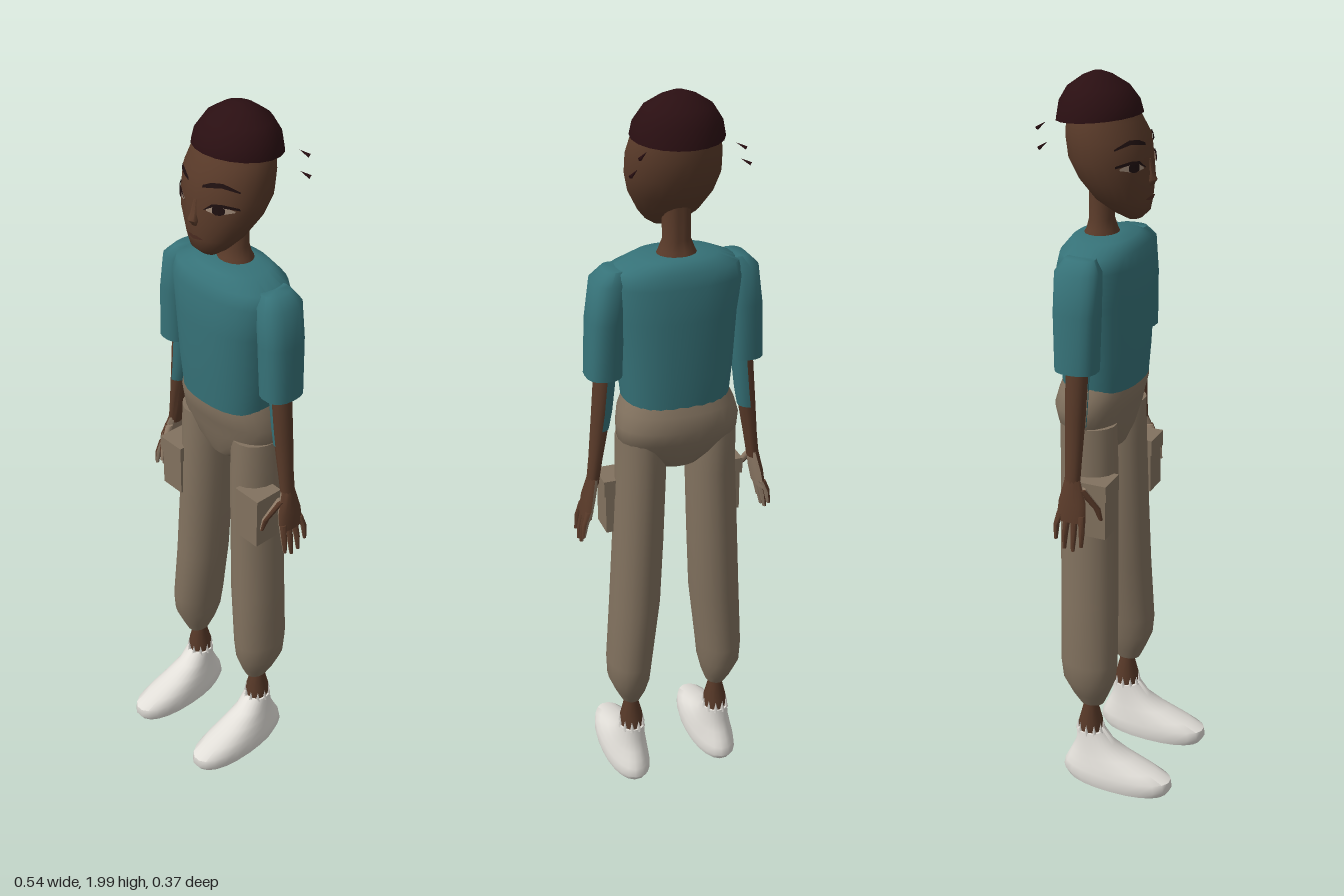
import * as THREE from 'three';
import { toCreasedNormals } from 'three/addons/utils/BufferGeometryUtils.js';

const mat = (name, color, side = THREE.FrontSide) => {
  const m = new THREE.MeshStandardMaterial({ color, side });
  m.name = name;
  return m;
};

// Head cross-sections, shared with the face details: [y, centre x, front z, back z, half width]
const HEAD = [
  [1.652, 0, 0.035, 0, 0.028], [1.67, 0, 0.054, -0.04, 0.053], [1.70, 0, 0.059, -0.085, 0.078],
  [1.75, 0, 0.062, -0.125, 0.106], [1.80, 0, 0.056, -0.15, 0.119], [1.85, 0, 0.05, -0.157, 0.118],
  [1.89, 0, 0.026, -0.155, 0.11], [1.95, 0, -0.005, -0.14, 0.08],
];

// Skin over rounded cross-sections stacked upward; an arc gives part of the way round
function loft(sections, { n = 18, power = 2, start = 0, arc = Math.PI * 2, crease = 0.9 } = {}) {
  const pos = [], idx = [], full = arc > 6.28, cols = full ? n : n + 1;
  const bend = v => Math.sign(v) * Math.abs(v) ** (2 / power);
  for (const [y, cx, zf, zb, rx] of sections)
    for (let j = 0; j < cols; j++) {
      const t = start + arc * j / n;
      pos.push(cx + rx * bend(Math.cos(t)), y, (zf + zb) / 2 + (zf - zb) / 2 * bend(Math.sin(t)));
    }
  const last = sections.length - 1, centre = pos.length / 3;
  for (const i of [0, last]) {
    const [y, cx, zf, zb] = sections[i];
    pos.push(cx, y, (zf + zb) / 2);
  }
  for (let j = 0; j < n; j++) {
    const k = (j + 1) % cols;
    for (let i = 0; i < last; i++) {
      const a = i * cols + j, b = i * cols + k, c = a + cols, d = b + cols;
      idx.push(a, c, b, b, c, d);
    }
    idx.push(centre, j, k, centre + 1, last * cols + k, last * cols + j);
  }
  const g = new THREE.BufferGeometry();
  g.setAttribute('position', new THREE.Float32BufferAttribute(pos, 3));
  g.setIndex(idx);
  return toCreasedNormals(g, crease);
}

// Depth of the face surface at x, y
function faceZ(x, y) {
  let i = 0;
  while (i < HEAD.length - 2 && HEAD[i + 1][0] < y) i++;
  const a = HEAD[i], b = HEAD[i + 1], t = (y - a[0]) / (b[0] - a[0]);
  const [, , zf, zb, rx] = a.map((v, k) => v + (b[k] - v) * t);
  return (zf + zb) / 2 + (zf - zb) / 2 * Math.sqrt(Math.max(0, 1 - (x / rx) ** 2));
}

// Thin strip lying on the face through points [x, y, half height]
function faceStrip(points, lift) {
  const pos = [], idx = [];
  points.forEach(([x, y, h], i) => {
    for (const yy of [y - h, y + h]) pos.push(x, yy, faceZ(x, yy) + lift);
    if (i) idx.push(2 * i - 2, 2 * i, 2 * i - 1, 2 * i - 1, 2 * i, 2 * i + 1);
  });
  const g = new THREE.BufferGeometry();
  g.setAttribute('position', new THREE.Float32BufferAttribute(pos, 3));
  g.setIndex(idx);
  g.computeVertexNormals();
  return g;
}

export function createModel() {
  const root = new THREE.Group();
  root.name = 'figure';
  const skin = mat('skin', 0x593a29), palm = mat('palm', 0x8f7b67), hair = mat('hair', 0x2a0f12);
  const shirt = mat('shirt', 0x367278), pants = mat('trousers', 0x82725f), shoe = mat('shoe', 0xe2dfd9);
  const dark = mat('lash', 0x1f1010, THREE.DoubleSide), eye = mat('eye', 0xa08a78, THREE.DoubleSide);
  const lip = mat('lip', 0x4c2c21, THREE.DoubleSide);
  const add = (name, geometry, material) => {
    const m = new THREE.Mesh(geometry, material);
    m.name = name;
    root.add(m);
    return m;
  };

  // Head, neck and nose
  add('head', loft(HEAD, { n: 24 }), skin);
  add('neck', loft([[1.585, 0, -0.02, -0.13, 0.06], [1.615, 0, -0.035, -0.112, 0.046],
    [1.64, 0, -0.042, -0.106, 0.036], [1.74, 0, -0.04, -0.105, 0.036]]), skin);
  add('nose', loft([[1.735, 0, 0.064, 0.045, 0.012], [1.75, 0, 0.075, 0.045, 0.016],
    [1.765, 0, 0.068, 0.045, 0.01], [1.80, 0, 0.058, 0.045, 0.006]], { n: 8 }), skin);
  add('mouth', faceStrip([[-0.028, 1.705, 0.001], [-0.01, 1.706, 0.005], [0, 1.704, 0.005],
    [0.01, 1.706, 0.005], [0.028, 1.705, 0.001]], 0.003), lip);

  // Hair cap with a hairline rising towards the front
  const cap = loft([[1.885, 0, 0.03, -0.185, 0.115], [1.93, 0, 0.022, -0.177, 0.108],
    [1.965, 0, -0.005, -0.156, 0.085], [1.99, 0, -0.045, -0.12, 0.045], [2.0, 0, -0.07, -0.095, 0.015]], { n: 20 });
  const p = cap.attributes.position;
  for (let i = 0; i < p.count; i++) if (p.getY(i) < 1.89) p.setY(i, 1.902 + 0.09 * p.getZ(i));
  add('hair', cap, hair);

  // Shirt body and hips
  add('shirtBody', loft([[1.215, 0, 0.035, -0.165, 0.14], [1.3, 0, 0.041, -0.168, 0.149],
    [1.45, 0, 0.047, -0.168, 0.16], [1.54, 0, 0.044, -0.165, 0.175], [1.575, 0, 0.034, -0.157, 0.165],
    [1.6, 0, 0.012, -0.14, 0.105], [1.605, 0, -0.03, -0.118, 0.05]], { n: 28, power: 2.4 }), shirt);
  add('hips', loft([[1.03, 0, -0.015, -0.12, 0.06], [1.07, 0, 0, -0.148, 0.12], [1.12, 0, 0.012, -0.172, 0.161],
    [1.16, 0, 0.022, -0.184, 0.163], [1.2, 0, 0.034, -0.174, 0.154], [1.235, 0, 0.03, -0.16, 0.138]],
    { n: 26, power: 2.3 }), pants);

  for (const s of [1, -1]) {
    const side = s > 0 ? 'left' : 'right';
    const inner = s * Math.PI / 2, outer = -inner;
    const flip = rows => rows.map(([y, x, ...rest]) => [y, s * x, ...rest]);
    const part = (name, rows, material, options) => add(side + name, loft(flip(rows), options), material);
    const twoTone = (name, rows, inside) => {
      part(name + 'Outer', rows, skin, { n: 7, start: outer, arc: Math.PI });
      part(name + 'Inner', rows, inside, { n: 7, start: inner, arc: Math.PI });
    };

    // Eye, lashes, brow and loose strands
    const strip = (name, pts, material, lift) =>
      add(side + name, faceStrip(pts.map(([x, y, h]) => [s * x, y, h]), lift), material);
    strip('Eye', [[0.038, 1.786, 0.002], [0.055, 1.79, 0.009], [0.075, 1.791, 0.01], [0.096, 1.789, 0.002]], eye, 0.003);
    strip('Iris', [[0.054, 1.79, 0.006], [0.062, 1.79, 0.011], [0.072, 1.79, 0.011], [0.08, 1.79, 0.006]], dark, 0.005);
    strip('Lash', [[0.034, 1.787, 0.001], [0.053, 1.801, 0.004], [0.075, 1.803, 0.004], [0.104, 1.795, 0.003]], dark, 0.006);
    strip('Brow', [[0.024, 1.841, 0.003], [0.045, 1.848, 0.006], [0.07, 1.851, 0.005], [0.102, 1.836, 0.002]], dark, 0.005);
    for (const [x, y, z] of [[0.12, 1.885, -0.178], [0.138, 1.842, -0.165]]) {
      const strand = add(side + 'Strand', new THREE.ConeGeometry(0.005, 0.028, 4), hair);
      strand.position.set(s * x, y, z);
      strand.rotation.set(0.8, 0, s * 0.9);
    }

    // Sleeve and forearm, with the inner half of the upper forearm covered
    part('Sleeve', [[1.3, 0.191, -0.002, -0.115, 0.047], [1.45, 0.184, 0.002, -0.12, 0.047],
      [1.55, 0.172, 0, -0.12, 0.045], [1.58, 0.158, -0.02, -0.1, 0.028]], shirt, { power: 2.5 });
    part('Forearm', [[0.99, 0.227, -0.04, -0.082, 0.016], [1.06, 0.217, -0.038, -0.083, 0.018],
      [1.17, 0.202, -0.034, -0.088, 0.024], [1.32, 0.186, -0.03, -0.09, 0.028]], skin, { n: 12 });
    part('InnerCuff', [[1.15, 0.205, -0.031, -0.089, 0.0255], [1.2, 0.198, -0.03, -0.092, 0.028],
      [1.32, 0.186, -0.027, -0.093, 0.031]], shirt, { n: 8, start: inner, arc: Math.PI });

    // Hand with four fingers and a thumb
    twoTone('Palm', [[0.9, 0.247, -0.016, -0.098, 0.013], [0.95, 0.238, -0.018, -0.095, 0.016],
      [1.01, 0.225, -0.04, -0.082, 0.015]], palm);
    for (let f = 0; f < 4; f++) {
      const z = -0.027 - f * 0.02, tip = [0.838, 0.822, 0.826, 0.85][f], spread = (1.5 - f) * 0.004;
      twoTone('Finger', [[tip, 0.264, z + spread + 0.005, z + spread - 0.005, 0.005],
        [tip + 0.04, 0.258, z + spread + 0.008, z + spread - 0.008, 0.009],
        [0.92, 0.245, z + 0.01, z - 0.01, 0.011]], palm);
    }
    twoTone('Thumb', [[0.895, 0.204, 0.014, 0.003, 0.005], [0.93, 0.209, 0.01, -0.01, 0.009],
      [0.985, 0.226, -0.024, -0.05, 0.012]], palm);

    // Trouser leg gathered at the ankle
    part('TrouserLeg', [[0.265, 0.13, -0.022, -0.093, 0.028], [0.3, 0.132, -0.006, -0.115, 0.043],
      [0.35, 0.136, 0.014, -0.138, 0.059], [0.41, 0.134, 0.02, -0.146, 0.063], [0.6, 0.117, 0.015, -0.148, 0.069],
      [0.8, 0.107, 0.011, -0.15, 0.068], [1.0, 0.098, 0.008, -0.15, 0.066], [1.12, 0.098, 0.005, -0.15, 0.064]], pants);

    // Cargo pocket and its flap
    for (const [name, w, h, d, y] of [['Pocket', 0.074, 0.15, 0.075, 0.905], ['PocketFlap', 0.084, 0.045, 0.085, 0.965]])
      add(side + name, new THREE.BoxGeometry(w, h, d), pants).position.set(s * 0.154, y, -0.023);

    // Ankle and shoe
    part('Ankle', [[0.14, 0.13, -0.03, -0.1, 0.031], [0.2, 0.13, -0.028, -0.097, 0.033],
      [0.25, 0.13, -0.04, -0.084, 0.021], [0.29, 0.13, -0.04, -0.084, 0.021]], skin, { n: 12 });
    part('Shoe', [[0.01, 0.134, 0.175, -0.13, 0.06], [0.03, 0.134, 0.188, -0.145, 0.064],
      [0.055, 0.134, 0.185, -0.14, 0.061], [0.075, 0.133, 0.14, -0.13, 0.056], [0.1, 0.132, 0.07, -0.118, 0.049],
      [0.13, 0.131, 0.01, -0.105, 0.041], [0.17, 0.13, -0.022, -0.103, 0.036]], shoe, { n: 22, power: 2.2 });
    // Ragged shoe collar
    for (let k = 0; k < 10; k++) {
      const t = k / 10 * Math.PI * 2;
      add(side + 'CollarTip', new THREE.ConeGeometry(0.008, 0.035, 4), shoe)
        .position.set(s * 0.13 + 0.033 * Math.cos(t), 0.18, -0.0625 + 0.037 * Math.sin(t));
    }
  }
  return root;
}
